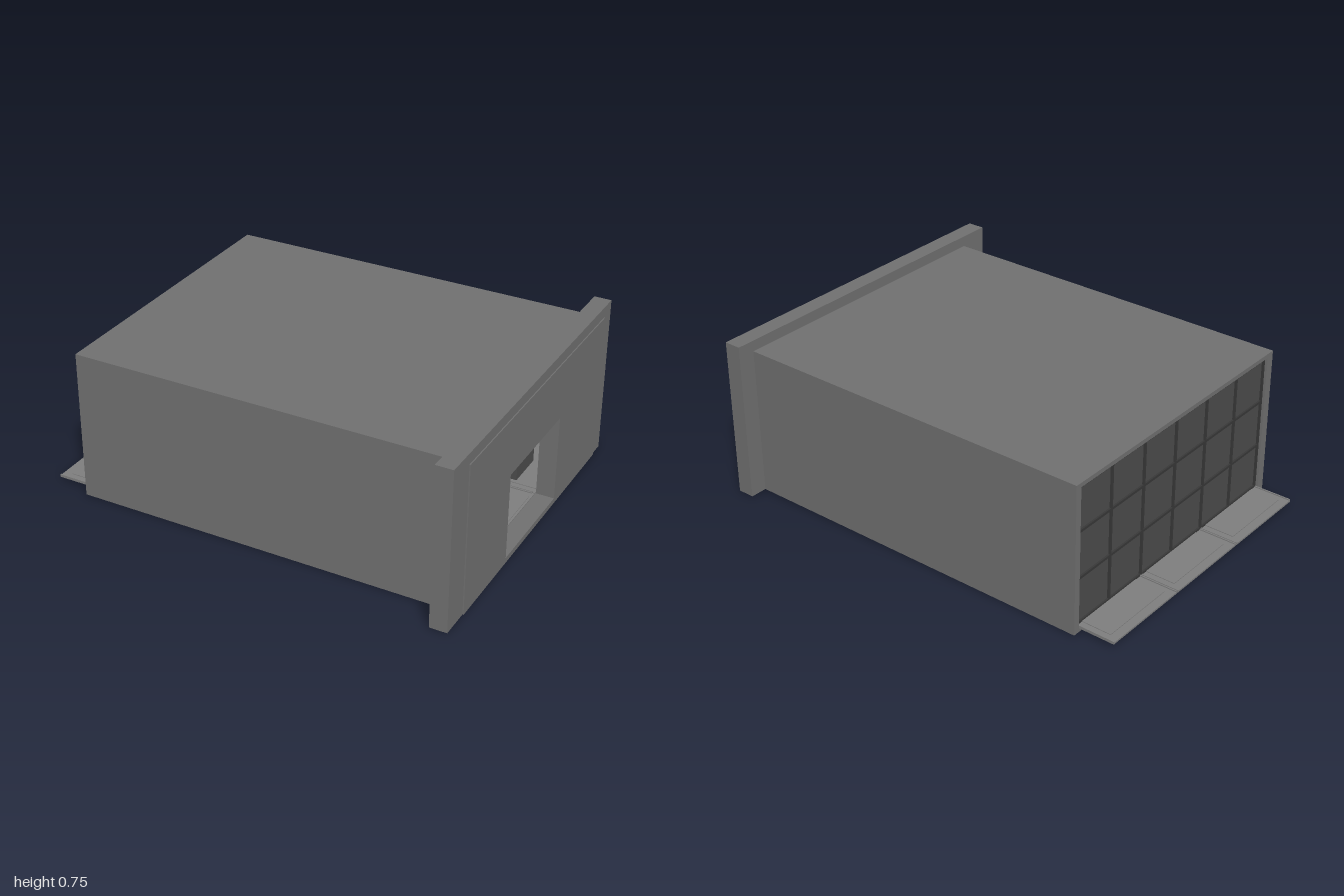
import * as THREE from 'three';

const mat = (color) => new THREE.MeshStandardMaterial({ color, side: THREE.DoubleSide });
const wallMat = mat(0x707070), darkMat = mat(0x4c4c4c), frameMat = mat(0x383838), floorMat = mat(0x7e7e7e);
const paleMat = mat(0xcccccc), blueMat = mat(0x5a66a0), orangeMat = mat(0xb87818), redMat = mat(0xb02020);

export function createModel() {
  const root = new THREE.Group();
  let parent = root;

  function add(name, geometry, material) {
    const mesh = new THREE.Mesh(geometry, material);
    mesh.name = name;
    parent.add(mesh);
    return mesh;
  }
  // box given by its limits on each axis
  function box(name, x0, x1, y0, y1, z0, z1, material) {
    const m = add(name, new THREE.BoxGeometry(x1 - x0, y1 - y0, z1 - z0), material);
    m.position.set((x0 + x1) / 2, (y0 + y1) / 2, (z0 + z1) / 2);
    return m;
  }
  // upright cylinder standing on y0
  function column(name, rTop, rBottom, x, z, y0, y1, sides, material) {
    const g = new THREE.CylinderGeometry(rTop, rBottom, y1 - y0, sides);
    const m = add(name, g, material);
    m.position.set(x, (y0 + y1) / 2, z);
    return m;
  }
  // plate across the entrance end with the doorway cut out
  function doorPlate(name, x0, x1, z0, z1, top) {
    const s = new THREE.Shape();
    s.moveTo(-z1, 0).lineTo(-z0, 0).lineTo(-z0, top).lineTo(-z1, top).closePath();
    const h = new THREE.Path();
    h.moveTo(-0.26, 0.025).lineTo(-0.26, 0.43).lineTo(0.26, 0.43).lineTo(0.26, 0.025).closePath();
    s.holes.push(h);
    const m = add(name, new THREE.ExtrudeGeometry(s, { depth: x1 - x0, bevelEnabled: false }), wallMat);
    m.rotation.y = Math.PI / 2;
    m.position.x = x0;
  }

  // hall shell
  box('floorSlab', -0.83, 0.915, 0, 0.02, -0.73, 0.67, wallMat);
  box('roof', -0.83, 0.915, 0.68, 0.70, -0.73, 0.67, wallMat);
  box('backWall', -0.83, 0.915, 0.02, 0.68, -0.73, -0.70, wallMat);
  box('frontWall', -0.83, 0.915, 0.02, 0.68, 0.63, 0.67, wallMat);

  // entrance end
  doorPlate('facade', 0.915, 0.995, -0.81, 0.81, 0.75);
  doorPlate('facadePanel', 0.995, 1.0, -0.73, 0.67, 0.70);

  // window wall: six columns by three rows of panes
  const z0 = -0.70, z1 = 0.63, pane = (z1 - z0) / 6;
  box('windowPanes', -0.81, -0.80, 0.02, 0.68, z0, z1, darkMat);
  for (let i = 0; i <= 6; i++) {
    const z = Math.min(Math.max(z0 + i * pane, z0 + 0.006), z1 - 0.006);
    box('windowMullion', -0.818, -0.792, 0.02, 0.68, z - 0.006, z + 0.006, frameMat);
  }
  for (const y of [0.03, 0.245, 0.465, 0.672])
    box('windowTransom', -0.818, -0.792, y - 0.006, y + 0.006, z0, z1, frameMat);

  // floor plates running out under the windows
  const bay = (z1 - z0) / 3;
  for (let i = 0; i < 3; i++) {
    const a = z0 + i * bay, b = a + bay;
    box('floorPlate', -1.0, 0.91, 0.017, 0.025, a + 0.002, b - 0.002, floorMat);
    box('floorPlateInset', -0.96, 0.90, 0.025, 0.028, a + 0.036, b - 0.036, floorMat);
    for (const z of [a + 0.005, b - 0.005])
      box('floorPlateRim', -1.0, 0.90, 0.025, 0.03, z - 0.003, z + 0.003, floorMat);
  }

  // central column machine
  const machine = new THREE.Group();
  machine.name = 'centralMachine';
  machine.position.x = 0.1;
  root.add(machine);
  parent = machine;
  column('machineBase', 0.10, 0.12, 0, 0, 0.025, 0.055, 8, darkMat);
  column('machinePlinth', 0.08, 0.095, 0, 0, 0.055, 0.08, 8, wallMat);
  column('machineCore', 0.062, 0.062, 0, 0, 0.08, 0.335, 24, blueMat);
  column('machineCollar', 0.10, 0.085, 0, 0, 0.335, 0.36, 8, darkMat);
  column('machineCrown', 0.085, 0.10, 0, 0, 0.36, 0.39, 8, darkMat);
  column('machineCap', 0.062, 0.062, 0, 0, 0.39, 0.425, 16, paleMat);
  box('capFace', 0.06, 0.105, 0.34, 0.42, -0.06, 0.06, paleMat);
  column('upperDuct', 0.07, 0.07, 0, 0, 0.425, 0.68, 16, darkMat);
  box('controlStand', 0.06, 0.11, 0.08, 0.165, -0.022, 0.022, wallMat);
  const button = add('controlButton', new THREE.SphereGeometry(0.012, 12, 8), redMat);
  button.position.set(0.095, 0.172, 0);
  for (const sx of [-1, 1]) for (const sz of [-1, 1]) {
    box('machineRib', sx * 0.04 - 0.01, sx * 0.04 + 0.01, 0.08, 0.335, sz * 0.06 - 0.011, sz * 0.06 + 0.011, orangeMat);
    column('innerPost', 0.005, 0.005, sx * 0.08, sz * 0.078, 0.08, 0.34, 8, paleMat);
    column('outerPost', 0.006, 0.006, sx * 0.10, sz * 0.117, 0.085, 0.36, 8, paleMat);
    box('postFoot', sx * 0.10 - 0.02, sx * 0.10 + 0.02, 0.025, 0.085, sz * 0.117 - 0.02, sz * 0.117 + 0.02, darkMat);
  }
  parent = root;

  // cabinets beside the entrance
  box('lowCabinet', 0.62, 0.74, 0.03, 0.15, -0.29, -0.15, darkMat);
  box('palePanel', 0.69, 0.71, 0.155, 0.45, -0.29, -0.173, paleMat);
  box('tallCabinet', 0.55, 0.80, 0.03, 0.45, -0.50, -0.31, darkMat);
  box('sideCabinet', 0.45, 0.80, 0.03, 0.45, 0.215, 0.40, darkMat);
  box('sideCabinetTrim', 0.43, 0.45, 0.16, 0.45, 0.195, 0.21, paleMat);
  box('sideScreen', 0.60, 0.70, 0.17, 0.23, 0.205, 0.215, blueMat);
  return root;
}
